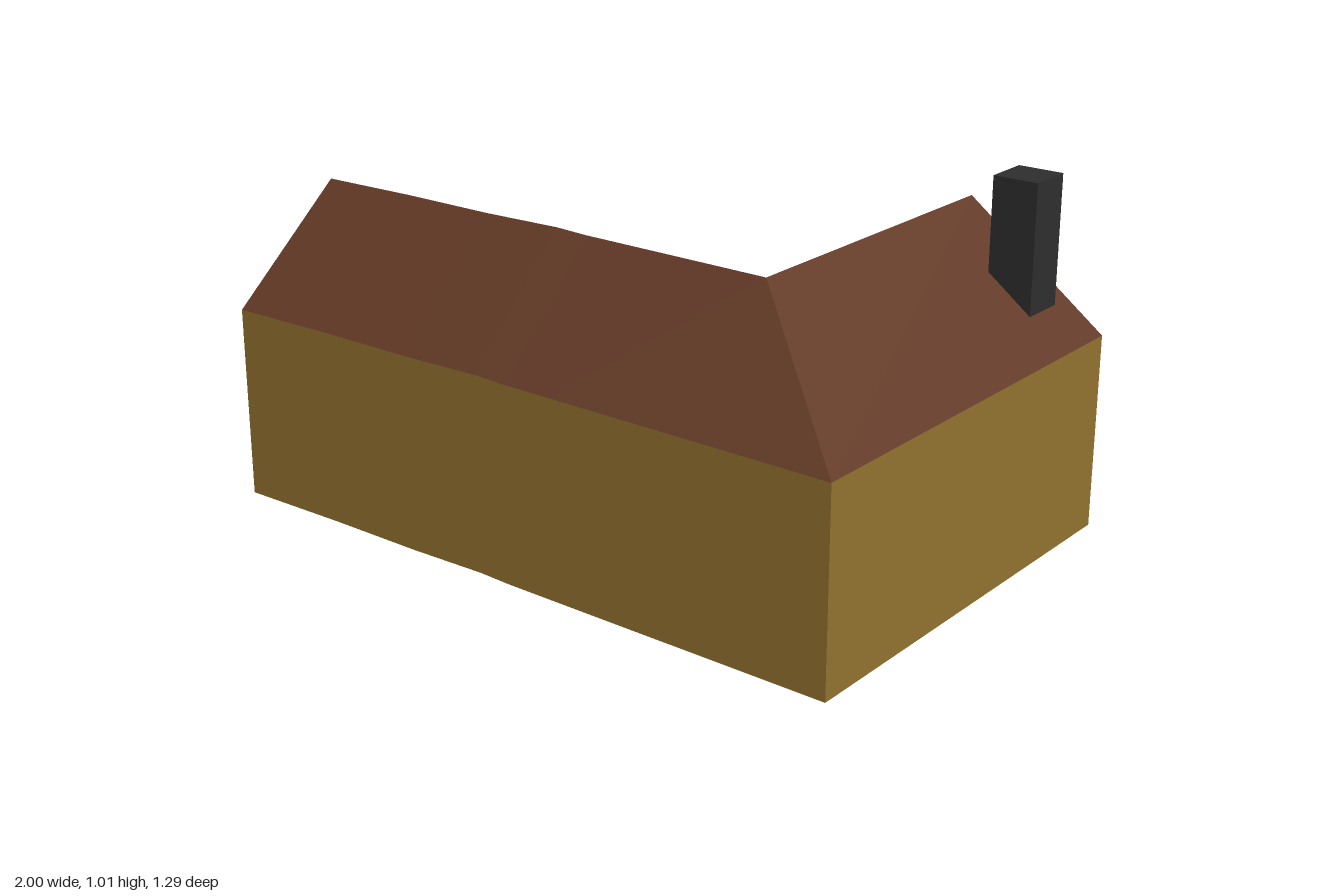
import * as THREE from 'three';

const FRONT = 0.643, BACK = -0.643, RIDGE_Z = 0.32; // depth lines
const WING_X = 0.155, RIDGE_X = 0.577;              // back wing inner wall and ridge
const FLOOR = 0.01, EAVE = 0.567, RIDGE = 0.886;

// The long wing settles slightly towards its left end
const stations = [-1, -0.65, -0.35, -0.1, 0, WING_X];
const sag = [-0.01, -0.004, -0.003, 0.003, 0, 0];
function settle(x) {
  for (let i = 1; i < stations.length; i++) {
    if (x <= stations[i]) {
      const t = Math.max(0, (x - stations[i - 1]) / (stations[i] - stations[i - 1]));
      return sag[i - 1] + t * (sag[i] - sag[i - 1]);
    }
  }
  return 0;
}
const pt = (x, y, z) => [x, y + settle(x), z];

// Flat-sided mesh from convex polygons, corners counter-clockwise from outside
function polyMesh(name, polygons, material) {
  const positions = [];
  for (const p of polygons) {
    for (let i = 1; i < p.length - 1; i++) positions.push(...p[0], ...p[i], ...p[i + 1]);
  }
  const geometry = new THREE.BufferGeometry();
  geometry.setAttribute('position', new THREE.Float32BufferAttribute(positions, 3));
  geometry.computeVertexNormals();
  const mesh = new THREE.Mesh(geometry, material);
  mesh.name = name;
  return mesh;
}

export function createModel() {
  const wallMat = new THREE.MeshStandardMaterial({ color: 0x92722f });
  wallMat.name = 'ochre wall';
  const roofMat = new THREE.MeshStandardMaterial({ color: 0x623926 });
  roofMat.name = 'brown roof';
  const chimneyMat = new THREE.MeshStandardMaterial({ color: 0x2e2e2e });
  chimneyMat.name = 'dark chimney';

  const house = new THREE.Group();
  house.name = 'house';

  // Walls around the L-shaped footprint
  const outline = [
    ...stations.map((x) => [x, FRONT]),
    [1, FRONT], [1, BACK], [WING_X, BACK],
    ...[...stations].reverse().map((x) => [x, 0]),
  ];
  const walls = outline.map(([x0, z0], i) => {
    const [x1, z1] = outline[(i + 1) % outline.length];
    return [pt(x0, FLOOR, z0), pt(x1, FLOOR, z1), pt(x1, EAVE, z1), pt(x0, EAVE, z0)];
  });
  house.add(polyMesh('walls', walls, wallMat));

  // Underside and roof of the long wing, strip by strip
  const floor = [], roof = [];
  const ridgeX = (x) => Math.max(x, -0.96);
  for (let i = 0; i < stations.length - 1; i++) {
    const a = stations[i], b = stations[i + 1];
    const ra = pt(ridgeX(a), RIDGE, RIDGE_Z), rb = pt(ridgeX(b), RIDGE, RIDGE_Z);
    floor.push([pt(a, FLOOR, 0), pt(b, FLOOR, 0), pt(b, FLOOR, FRONT), pt(a, FLOOR, FRONT)]);
    roof.push([pt(a, EAVE, FRONT), pt(b, EAVE, FRONT), rb, ra]);
    roof.push([pt(b, EAVE, 0), pt(a, EAVE, 0), ra, rb]);
  }
  floor.push([pt(WING_X, FLOOR, BACK), pt(1, FLOOR, BACK), pt(1, FLOOR, FRONT), pt(WING_X, FLOOR, FRONT)]);
  house.add(polyMesh('floor', floor, wallMat));

  // Corner, back wing slopes, gable and steep hip end
  const corner = pt(RIDGE_X, RIDGE, RIDGE_Z), gableTop = pt(RIDGE_X, RIDGE, BACK);
  const inner = pt(WING_X, EAVE, 0), ridgeStart = pt(WING_X, RIDGE, RIDGE_Z);
  roof.push(
    [pt(WING_X, EAVE, FRONT), pt(1, EAVE, FRONT), corner, ridgeStart],
    [inner, ridgeStart, corner],
    [pt(1, EAVE, FRONT), pt(1, EAVE, BACK), gableTop, corner],
    [pt(WING_X, EAVE, BACK), inner, corner, gableTop],
    [pt(1, EAVE, BACK), pt(WING_X, EAVE, BACK), gableTop],
    [pt(-1, EAVE, 0), pt(-1, EAVE, FRONT), pt(-0.96, RIDGE, RIDGE_Z)],
  );
  house.add(polyMesh('roof', roof, roofMat));

  // Chimney through the outer slope of the back wing
  const chimney = new THREE.Mesh(new THREE.BoxGeometry(0.132, 0.395, 0.134), chimneyMat);
  chimney.name = 'chimney';
  chimney.position.set(0.824, 0.8175, -0.505);
  house.add(chimney);

  return house;
}
